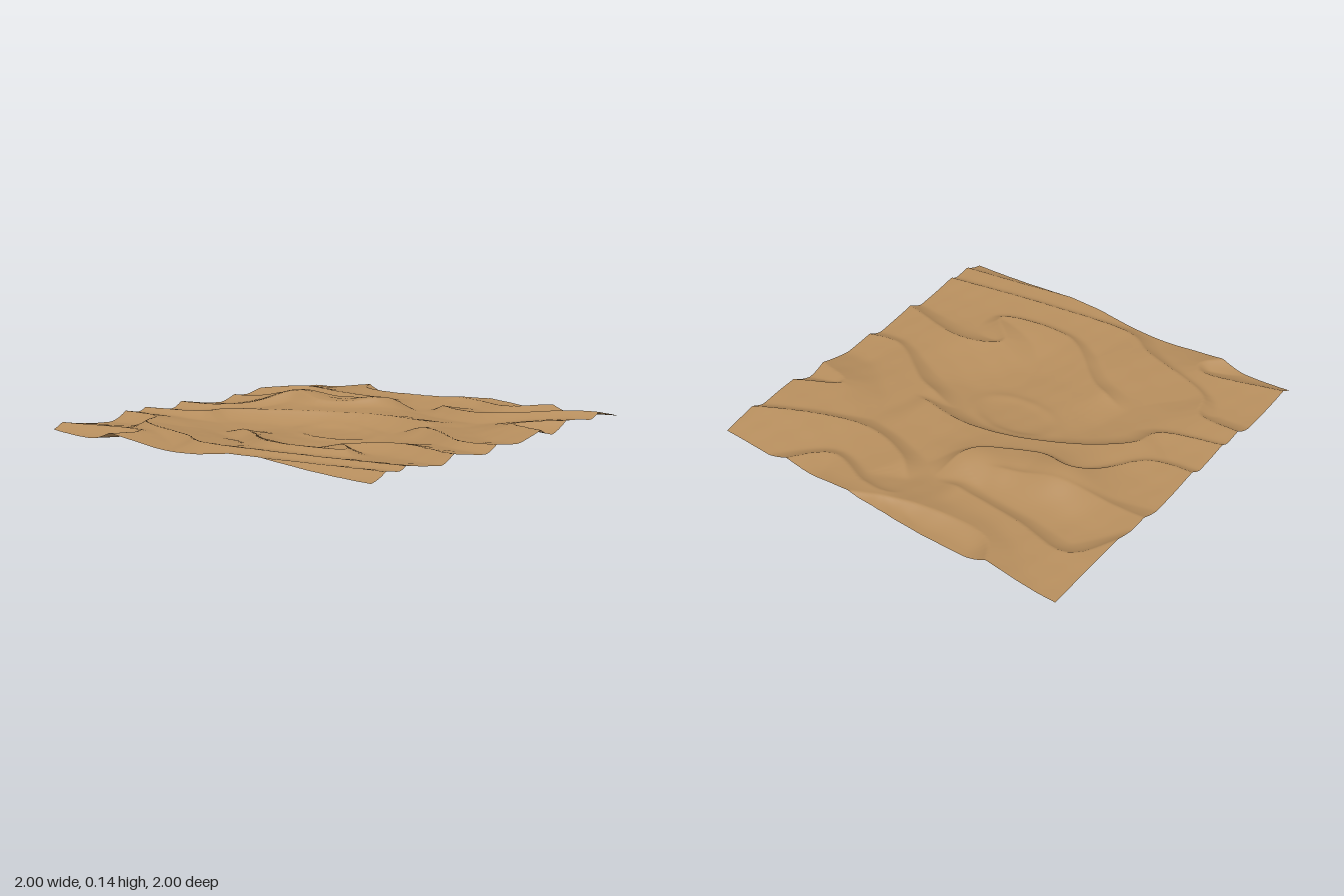
import * as THREE from 'three';

const SEGMENTS = 200;

// Dune crests as [height, ...[x, z] points]; the steep slip face lies to the right of travel.
const crests = [
  [0.045, [0.3, -1.04], [-0.1, -0.88], [-0.52, -0.88], [-0.63, -1.03]],
  [0.045, [-0.02, -0.76], [0.05, -0.89], [0.2, -0.9], [0.45, -0.83], [0.63, -1.03]],
  [0.045, [0.02, -0.78], [0.2, -0.63], [0.48, -0.57], [1.03, -0.83]],
  [0.042, [-1.03, -0.45], [-0.87, -0.73], [-0.55, -0.69], [0, -0.65]],
  [0.045, [-1.03, 0.11], [-0.78, 0.05], [-0.55, -0.27], [-0.35, -0.25], [-0.1, -0.41], [0, -0.67]],
  [0.03, [-1.03, -0.3], [-0.6, -0.36], [-0.12, -0.5]],
  [0.046, [-1.03, 0.38], [-0.69, 0.26], [-0.65, 0.14], [-0.33, -0.1], [0.1, -0.24], [0.55, -0.18]],
  [0.04, [0.25, -0.13], [0.5, -0.09], [0.83, 0.1], [1.03, 0.06]],
  [0.045, [1.03, -0.29], [0.8, -0.36], [1.03, -0.54]],
  [0.045, [-0.44, 0.37], [-0.2, 0.44], [0.15, 0.68], [0.55, 0.61], [0.41, 0.46], [0.6, 0.34], [1.03, 0.41]],
  [0.045, [-1.03, 0.51], [-0.77, 0.52], [-0.7, 0.66], [-0.25, 0.82], [-0.1, 0.9], [0.4, 0.86], [1.03, 0.75]],
  [0.042, [-1.03, 0.95], [-0.57, 0.84], [-0.53, 0.9], [-0.63, 1.03]],
  [0.04, [0.2, 1.03], [0.6, 0.96], [1.03, 0.89]],
].map(([height, ...points]) => {
  const curve = new THREE.CatmullRomCurve3(points.map(([x, z]) => new THREE.Vector3(x, 0, z)), false, 'centripetal');
  const length = curve.getLength();
  const inside = ([x, z]) => Math.max(Math.abs(x), Math.abs(z)) < 1;
  return {
    height,
    length,
    path: curve.getSpacedPoints(Math.ceil(length * 30)),
    fadeStart: inside(points[0]),
    fadeEnd: inside(points[points.length - 1]),
  };
});

const gauss = (x, z, cx, cz, rx, rz) => Math.exp(-(((x - cx) / rx) ** 2) - ((z - cz) / rz) ** 2);

// Height of one dune: a long windward back and a short, steep lee slope
function duneHeight({ path, length, height, fadeStart, fadeEnd }, x, z) {
  let best = Infinity, along = 0, side = 0;
  for (let i = 0; i < path.length - 1; i++) {
    const a = path[i], dx = path[i + 1].x - a.x, dz = path[i + 1].z - a.z;
    const px = x - a.x, pz = z - a.z;
    const t = THREE.MathUtils.clamp((px * dx + pz * dz) / (dx * dx + dz * dz), 0, 1);
    const d = (px - t * dx) ** 2 + (pz - t * dz) ** 2;
    if (d < best) {
      best = d;
      along = (i + t) / (path.length - 1);
      side = dx * pz - dz * px;
    }
  }
  const distance = Math.sqrt(best);
  let fade = 1;
  if (fadeStart) fade *= THREE.MathUtils.smoothstep(along * length, 0, 0.2);
  if (fadeEnd) fade *= THREE.MathUtils.smoothstep((1 - along) * length, 0, 0.2);
  const lee = Math.max(0, 1 - distance / 0.13) ** 2;
  const windward = Math.max(0, 1 - distance / 0.34) ** 1.5;
  return height * fade * (side > 0 ? lee : windward);
}

function terrainHeight(x, z) {
  // Broad swells: the back right corner and the tall ridge left of centre
  let y = 0.035 + 0.04 * gauss(x, z, 0.95, -0.7, 0.4, 0.4);
  y += 0.066 * gauss(x, z, -0.52, -0.33, 0.24, 0.16) + 0.05 * gauss(x, z, -0.14, -0.45, 0.19, 0.14);

  // Flat-bottomed central hollow
  const hollow = Math.hypot((x - 0.02) / 0.7, (z - 0.2) / 0.52);
  y -= 0.033 * (1 - THREE.MathUtils.smoothstep(hollow, 0.35, 1));

  // Soft maximum of the dunes keeps the crests sharp and the troughs smooth
  let sum = 0;
  for (const crest of crests) sum += duneHeight(crest, x, z) ** 4;
  y += sum ** 0.25;

  // Low oval rim in the hollow
  const r = Math.hypot(x / 0.23, (z - 0.02) / 0.14);
  y += 0.006 * Math.exp(-(((r - 1) / 0.2) ** 2));

  // Fine wind ripples
  return y + 0.0008 * Math.sin(17 * x + 31 * z + 2 * Math.sin(7 * x)) * Math.sin(23 * x - 11 * z);
}

export function createModel() {
  const group = new THREE.Group();
  group.name = 'desertTerrain';

  // Sand sheet resting on the ground at its lowest point
  const geometry = new THREE.PlaneGeometry(2, 2, SEGMENTS, SEGMENTS).rotateX(-Math.PI / 2);
  const position = geometry.attributes.position;
  for (let i = 0; i < position.count; i++) {
    position.setY(i, terrainHeight(position.getX(i), position.getZ(i)));
  }
  geometry.computeBoundingBox();
  geometry.translate(0, -geometry.boundingBox.min.y, 0);
  geometry.computeVertexNormals();

  const sand = new THREE.MeshStandardMaterial({ color: 0xb48c5c, side: THREE.DoubleSide });
  const dunes = new THREE.Mesh(geometry, sand);
  dunes.name = 'sandDunes';
  group.add(dunes);
  return group;
}
